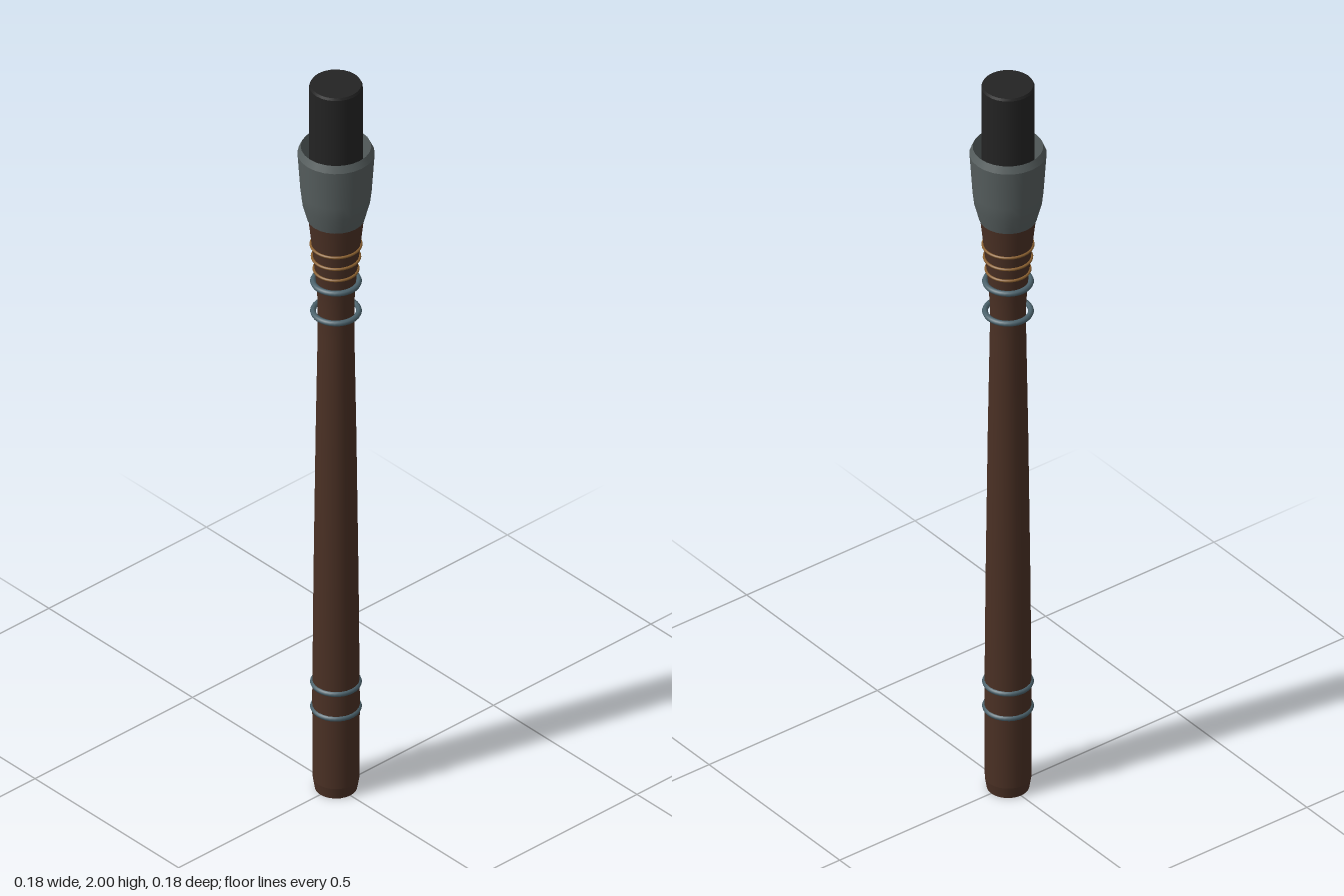
import * as THREE from 'three';

const mat = (name, color, extra = {}) => {
  const m = new THREE.MeshStandardMaterial({ color, ...extra });
  m.name = name;
  return m;
};

export function createModel() {
  const group = new THREE.Group();
  const wood = mat('dark wood', 0x4a3024);
  const iron = mat('grey iron', 0x565e5e);
  const coal = mat('black core', 0x232323);
  const steel = mat('blue steel', 0x4b626c);
  const brass = mat('brass wire', 0x8a6030);

  const add = (name, geometry, material, y = 0) => {
    const mesh = new THREE.Mesh(geometry, material);
    mesh.name = name;
    mesh.position.y = y;
    group.add(mesh);
    return mesh;
  };
  // Each profile section is lathed alone, so corners between sections stay sharp
  const lathe = (name, material, ...sections) => sections.forEach((pts) =>
    add(name, new THREE.LatheGeometry(pts.map(([r, y]) => new THREE.Vector2(r, y)), 24), material));
  const ring = (name, radius, tube, y, material) =>
    add(name, new THREE.TorusGeometry(radius, tube, 8, 32).rotateX(Math.PI / 2), material, y);

  // Tapered wooden shaft that flares into the head
  lathe('shaft', wood,
    [[0, 0], [0.05, 0]],
    [[0.05, 0], [0.055, 0.03]],
    [[0.055, 0.03], [0.056, 0.25], [0.053, 0.6], [0.048, 1.0], [0.043, 1.3],
      [0.043, 1.38], [0.048, 1.45], [0.056, 1.53], [0.067, 1.63]],
    [[0.067, 1.63], [0, 1.63]]);

  // Hollow iron cup with bevelled lip
  lathe('cup', iron,
    [[0.064, 1.62], [0.068, 1.62]],
    [[0.068, 1.62], [0.08, 1.665], [0.084, 1.70], [0.091, 1.805]],
    [[0.091, 1.805], [0.083, 1.823]],
    [[0.083, 1.823], [0.076, 1.72], [0.066, 1.64]]);

  // Black core standing in the cup
  lathe('core', coal,
    [[0.063, 1.63], [0.063, 1.994]],
    [[0.063, 1.994], [0.06, 2]],
    [[0.06, 2], [0, 2]]);

  // Steel bands near the base and neck
  for (const y of [0.23, 0.3, 1.355, 1.44]) ring('steelBand', 0.054, 0.007, y, steel);

  // Thin brass wire wraps on the flare
  [[0.052, 1.475], [0.056, 1.51], [0.059, 1.545]].forEach(([r, y]) =>
    ring('brassWire', r, 0.0035, y, brass));

  return group;
}
